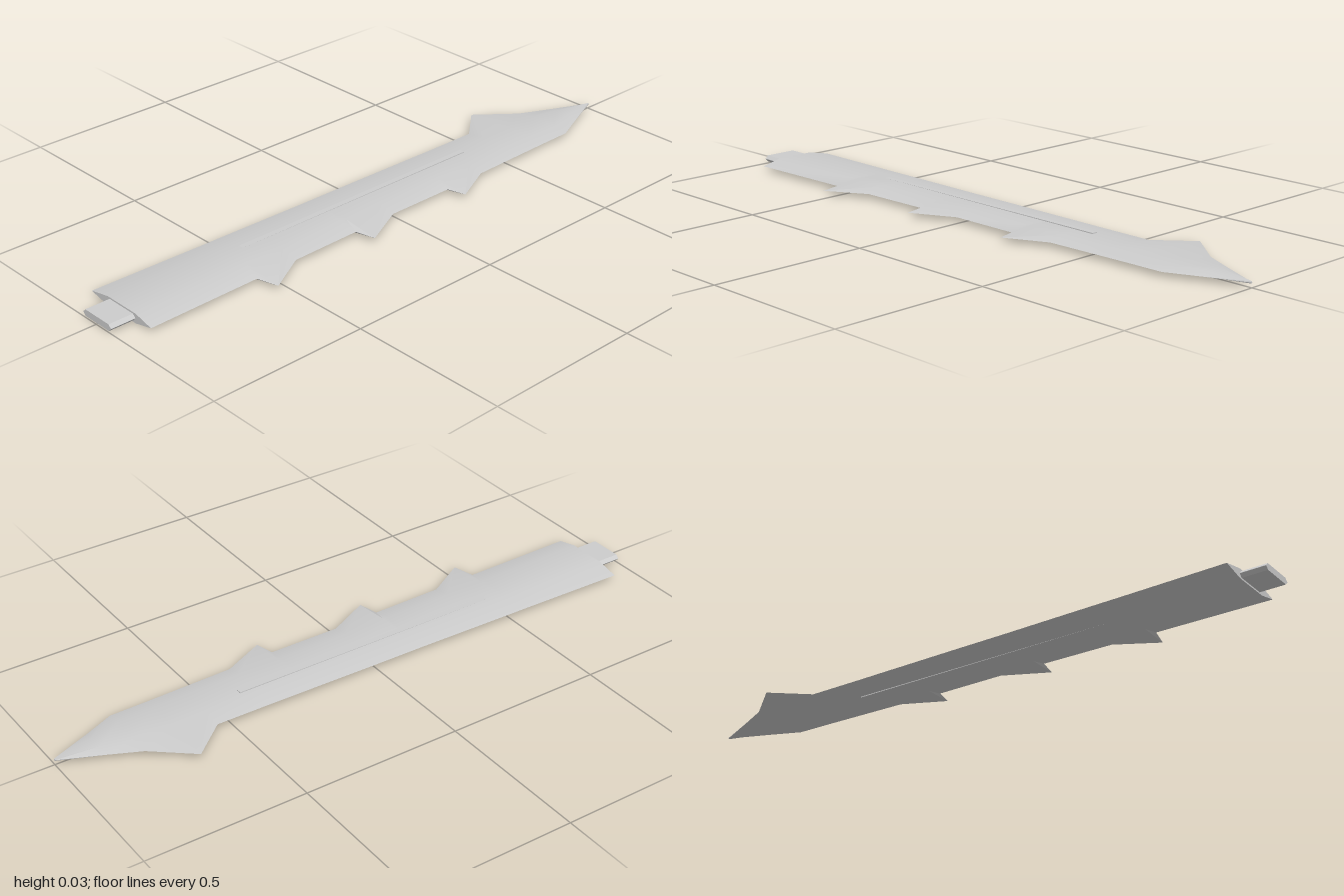
import * as THREE from 'three';
import { toCreasedNormals } from 'three/addons/utils/BufferGeometryUtils.js';

const MID = 0.018; // height of the cutting edges

// Loft closed rings (same point count) and cap both ends
function loft(rings) {
  const n = rings[0].length, index = [];
  for (let i = 0; i < rings.length - 1; i++) {
    for (let j = 0; j < n; j++) {
      const a = i * n + j, b = i * n + (j + 1) % n;
      index.push(a, b, a + n, b, b + n, a + n);
    }
  }
  const last = (rings.length - 1) * n;
  for (let j = 1; j < n - 1; j++) {
    index.push(0, j + 1, j, last, last + j, last + j + 1);
  }
  const g = new THREE.BufferGeometry();
  g.setAttribute('position', new THREE.Float32BufferAttribute(rings.flat(2), 3));
  g.setIndex(index);
  return toCreasedNormals(g, 0.42);
}

export function createModel() {
  const group = new THREE.Group();
  const steel = new THREE.MeshStandardMaterial({ color: 0xcccccc });
  steel.name = 'steel';
  const add = (geometry, name) => {
    const mesh = new THREE.Mesh(geometry, steel);
    mesh.name = name;
    group.add(mesh);
  };

  // Blade stations: z, left edge, right edge, flat left, flat right, half thickness
  const stations = [
    [-1, -0.001, 0.004, 0.0, 0.003, 0.003],
    [-0.87, -0.06, 0.058, -0.024, 0.026, 0.0085],
    [-0.775, -0.105, 0.1, -0.045, 0.05, 0.0095],
    [-0.655, -0.205, 0.102, -0.047, 0.052, 0.01],
    [-0.545, -0.11, 0.105, -0.048, 0.055, 0.0108],
    [-0.37, -0.111, 0.11, -0.049, 0.057, 0.0114],
    [-0.235, -0.113, 0.175, -0.05, 0.058, 0.0118],
    [-0.22, -0.113, 0.115, -0.05, 0.058, 0.0119],
    [0.01, -0.116, 0.115, -0.051, 0.06, 0.0126],
    [0.15, -0.117, 0.185, -0.052, 0.062, 0.0131],
    [0.165, -0.117, 0.12, -0.052, 0.062, 0.0131],
    [0.4, -0.121, 0.125, -0.053, 0.064, 0.0139],
    [0.53, -0.123, 0.2, -0.053, 0.065, 0.0143],
    [0.548, -0.123, 0.13, -0.053, 0.065, 0.0143],
    [0.92, -0.13, 0.137, -0.055, 0.07, 0.0155],
  ];
  add(loft(stations.map(([z, l, r, fl, fr, h]) => [
    [l, MID, z], [fl, MID - h, z], [fr, MID - h, z],
    [r, MID, z], [fr, MID + h, z], [fl, MID + h, z],
  ])), 'blade');

  // Narrow central rib that emerges as the blade thins
  const rib = new THREE.BoxGeometry(0.018, 0.0284, 0.9);
  rib.translate(-0.02, MID, 0.03);
  add(rib, 'centralRib');

  // Tang with chamfered corners
  const x0 = -0.057, x1 = 0.068, h = 0.0105, c = 0.01;
  const ring = (z) => [
    [x0, MID - h + c, z], [x0 + c, MID - h, z], [x1 - c, MID - h, z], [x1, MID - h + c, z],
    [x1, MID + h - c, z], [x1 - c, MID + h, z], [x0 + c, MID + h, z], [x0, MID + h - c, z],
  ];
  add(loft([ring(0.9), ring(1)]), 'tang');

  return group;
}
